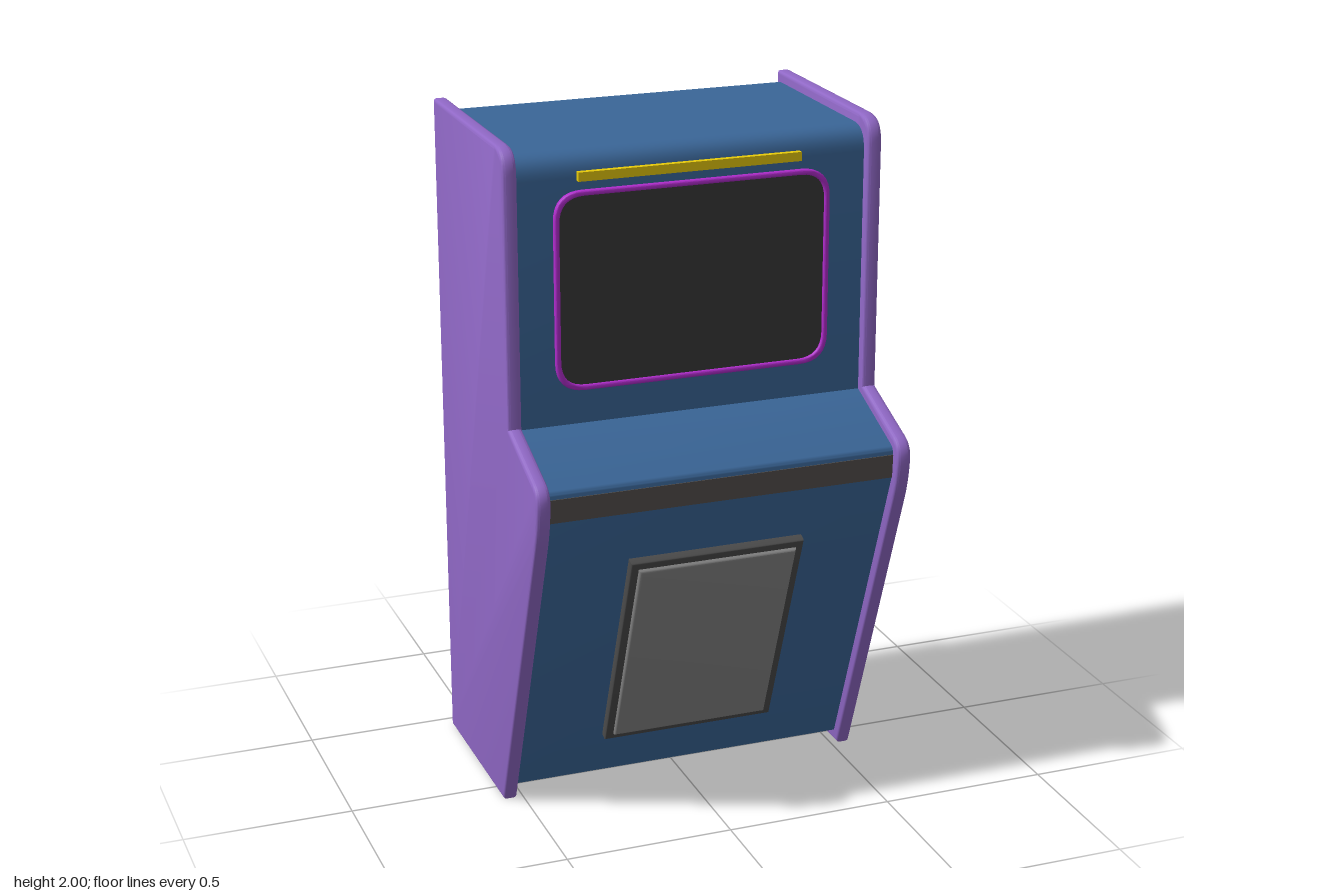
import * as THREE from 'three';
import { toCreasedNormals } from 'three/addons/utils/BufferGeometryUtils.js';

const mat = (name, color) => {
  const m = new THREE.MeshStandardMaterial({ color });
  m.name = name;
  return m;
};

// Closed outline with rounded corners; points are [a, b, radius].
function roundedShape(points) {
  const s = new THREE.Shape();
  const n = points.length;
  points.forEach(([x, y, r = 0], i) => {
    const p = new THREE.Vector2(x, y);
    const toward = (q) => new THREE.Vector2(q[0], q[1]).sub(p).setLength(r).add(p);
    const a = r ? toward(points[(i + n - 1) % n]) : p;
    const b = r ? toward(points[(i + 1) % n]) : p;
    if (i === 0) s.moveTo(a.x, a.y);
    else s.lineTo(a.x, a.y);
    if (r) s.quadraticCurveTo(x, y, b.x, b.y);
  });
  s.closePath();
  return s;
}

const rect = (w, h, r = 0) => roundedShape([
  [-w / 2, -h / 2, r], [w / 2, -h / 2, r], [w / 2, h / 2, r], [-w / 2, h / 2, r],
]);

// Extrusion from z = 0 to z = depth, bevelled inside the outline.
function plate(shape, depth, bevel = 0) {
  const g = new THREE.ExtrudeGeometry(shape, {
    depth: depth - 2 * bevel, bevelEnabled: bevel > 0, bevelSize: bevel,
    bevelThickness: bevel, bevelOffset: -bevel, bevelSegments: 3, curveSegments: 8,
  });
  g.translate(0, 0, bevel);
  return toCreasedNormals(g, 0.6);
}

// Profile in (z, y) extruded across x and centred.
function across(points, width, bevel) {
  const g = plate(roundedShape(points), width, bevel);
  g.translate(0, 0, -width / 2);
  g.rotateY(-Math.PI / 2);
  return g;
}

export function createModel() {
  const purple = mat('side purple', 0x9068c6);
  const blue = mat('cabinet blue', 0x3a6698);
  const magenta = mat('bezel magenta', 0xb02ccc);
  const black = mat('screen black', 0x383838);
  const yellow = mat('light yellow', 0xeed00a);
  const charcoal = mat('door frame charcoal', 0x4a4a4a);
  const grey = mat('door grey', 0x848484);
  const bandGrey = mat('band grey', 0x54504e);

  const root = new THREE.Group();
  root.name = 'arcadeCabinet';
  const add = (name, geometry, material, parent = root) => {
    const m = new THREE.Mesh(geometry, material);
    m.name = name;
    parent.add(m);
    return m;
  };

  // Side panels
  const side = across([
    [-0.46, 0], [0.085, 0], [0.455, 0.985, 0.06], [0.468, 1.105, 0.05],
    [0.21, 1.205], [0.21, 2.0, 0.075], [-0.46, 2.0],
  ], 0.042, 0.01);
  for (const s of [1, -1]) {
    add(s > 0 ? 'leftSide' : 'rightSide', side, purple).position.x = s * 0.539;
  }

  // Cabinet body between the sides
  add('body', across([
    [-0.433, 0.035], [0.066, 0.035], [0.425, 1.0], [0.43, 1.09, 0.02],
    [0.18, 1.19], [0.18, 1.97, 0.07], [-0.433, 1.97],
  ], 1.04, 0), blue);

  // Dark band under the control deck
  const band = add('deckBand', new THREE.BoxGeometry(1.036, 0.07, 0.004), bandGrey);
  band.position.set(0, 1.035, 0.4275);
  band.rotation.x = 0.055;

  // Screen and its bezel
  const bezelShape = rect(0.82, 0.575, 0.085);
  bezelShape.holes.push(rect(0.79, 0.545, 0.075));
  add('screenBezel', plate(bezelShape, 0.018, 0.004), magenta).position.set(0, 1.578, 0.177);
  add('screen', plate(rect(0.794, 0.549, 0.076), 0.008), black).position.set(0, 1.578, 0.178);

  // Light strip above the screen
  add('lightStrip', new THREE.BoxGeometry(0.66, 0.026, 0.018), yellow).position.set(-0.01, 1.905, 0.188);

  // Service door on the sloping front
  const door = new THREE.Group();
  door.name = 'serviceDoor';
  door.position.set(0, 0.512, 0.244);
  door.rotation.x = Math.atan2(0.359, 0.965);
  root.add(door);
  add('doorFrame', plate(rect(0.525, 0.7), 0.03, 0.005), charcoal, door);
  add('doorPanel', plate(rect(0.478, 0.655), 0.042, 0.01), grey, door);

  return root;
}
